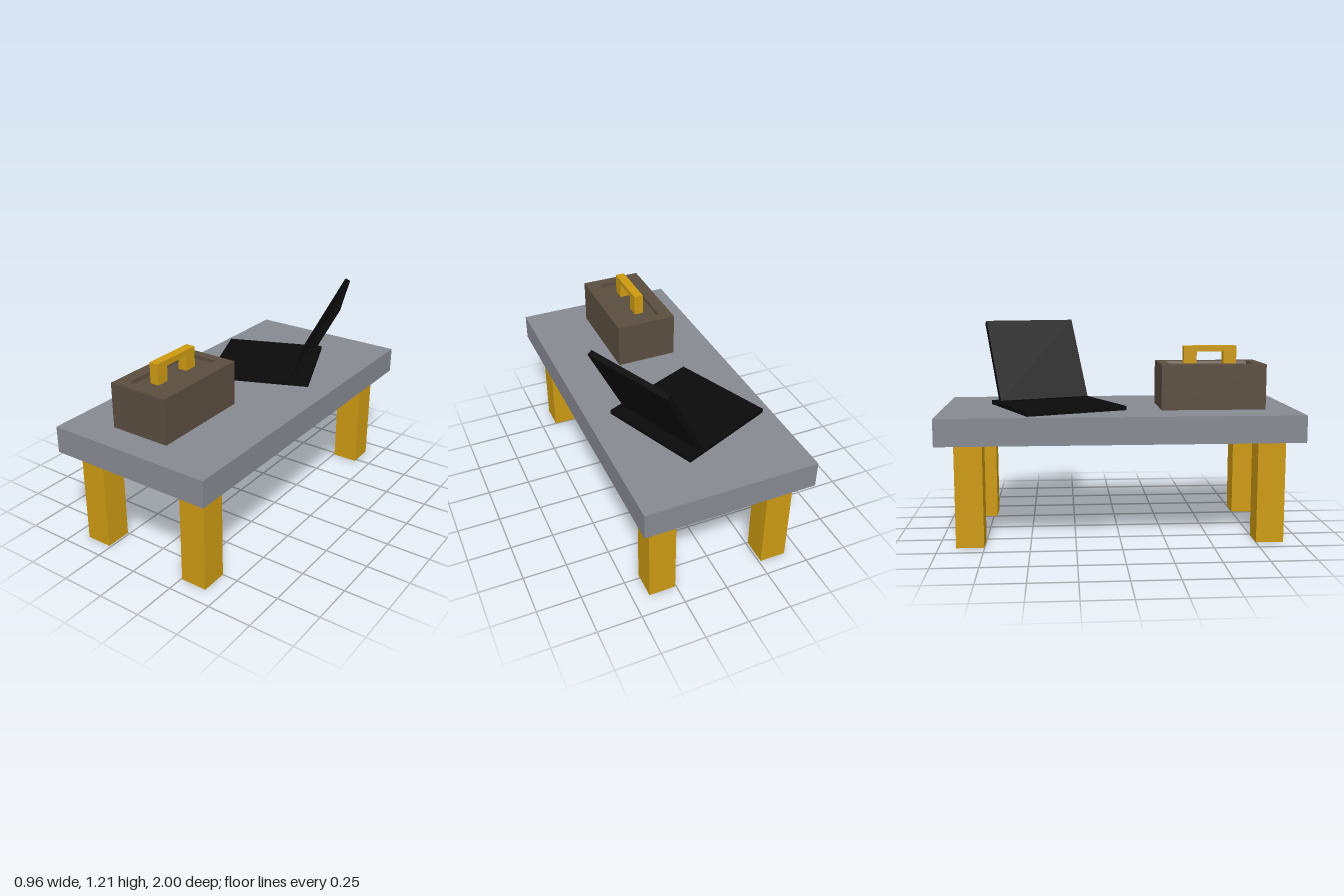
import * as THREE from 'three';

const mat = (color) => new THREE.MeshStandardMaterial({ color, flatShading: true });

// Box mesh given by its min and max on each axis
function block(name, material, [x0, x1], [y0, y1], [z0, z1]) {
  const mesh = new THREE.Mesh(new THREE.BoxGeometry(x1 - x0, y1 - y0, z1 - z0), material);
  mesh.position.set((x0 + x1) / 2, (y0 + y1) / 2, (z0 + z1) / 2);
  mesh.name = name;
  return mesh;
}

const points = (list) => list.map(([x, y]) => new THREE.Vector2(x, y));
const rect = (x0, x1, y0, y1) => points([[x0, y0], [x1, y0], [x1, y1], [x0, y1]]);

function createTable() {
  const table = new THREE.Group();
  table.name = 'table';
  const wood = mat(0xcc9a12);
  table.add(block('tableTop', mat(0x878992), [-0.482, 0.482], [0.572, 0.722], [-1, 1]));
  const right = [-0.413, -0.262], left = [0.256, 0.408], height = [0, 0.572];
  table.add(
    block('frontRightLeg', wood, right, height, [0.75, 0.904]),
    block('frontLeftLeg', wood, left, height, [0.75, 0.904]),
    block('backRightLeg', wood, right, height, [-0.904, -0.752]),
    block('backLeftLeg', wood, left, height, [-0.882, -0.728]),
  );
  return table;
}

function createToolbox() {
  const box = new THREE.Group();
  box.name = 'toolbox';
  const brown = mat(0x5a4d40);
  const depth = 0.02, top = 0.978;
  box.add(block('boxBody', brown, [-0.23, 0.123], [0.722, top - depth], [0.237, 0.83]));

  // Rim around the sunken lid panel, one inner wall slightly sloped
  const shape = new THREE.Shape(rect(-0.23, 0.123, -0.83, -0.237));
  shape.holes.push(new THREE.Path(rect(-0.155, 0.04, -0.77, -0.29)));
  const rimGeometry = new THREE.ExtrudeGeometry(shape, { depth, bevelEnabled: false });
  const p = rimGeometry.attributes.position;
  for (let i = 0; i < p.count; i++) {
    if (Math.abs(p.getX(i) - 0.04) < 1e-4 && p.getZ(i) < depth / 2) p.setX(i, 0.032);
  }
  rimGeometry.rotateX(-Math.PI / 2);
  const rim = new THREE.Mesh(rimGeometry, brown);
  rim.position.y = top - depth;
  rim.name = 'boxRim';

  // U-shaped carrying handle
  const arch = new THREE.Shape(points([
    [0.38, 0.958], [0.455, 0.958], [0.455, 1.043], [0.61, 1.043],
    [0.61, 0.958], [0.685, 0.958], [0.685, 1.075], [0.38, 1.075],
  ]));
  const handleGeometry = new THREE.ExtrudeGeometry(arch, { depth: 0.053, bevelEnabled: false });
  handleGeometry.rotateY(-Math.PI / 2);
  const handle = new THREE.Mesh(handleGeometry, mat(0xcc9a12));
  handle.position.x = -0.037;
  handle.name = 'boxHandle';
  box.add(rim, handle);
  return box;
}

function createLaptop() {
  const laptop = new THREE.Group();
  laptop.name = 'laptop';
  const black = mat(0x0a0a0a);
  const half = 0.297;
  laptop.add(block('laptopBase', black, [-half, half], [0, 0.024], [-half, half]));

  // Screen leans outward from a hinge line on the base
  const hinge = new THREE.Group();
  hinge.name = 'screenHinge';
  hinge.position.set(0.22, 0.024, 0);
  hinge.rotation.z = -0.484;
  hinge.add(block('laptopScreen', black, [-0.032, 0], [-0.01, 0.507], [-0.277, 0.277]));
  laptop.add(hinge);

  laptop.position.set(-0.045, 0.722, -0.3475);
  laptop.rotation.y = Math.PI / 8;
  return laptop;
}

export function createModel() {
  const model = new THREE.Group();
  model.name = 'workTable';
  model.add(createTable(), createToolbox(), createLaptop());
  return model;
}
